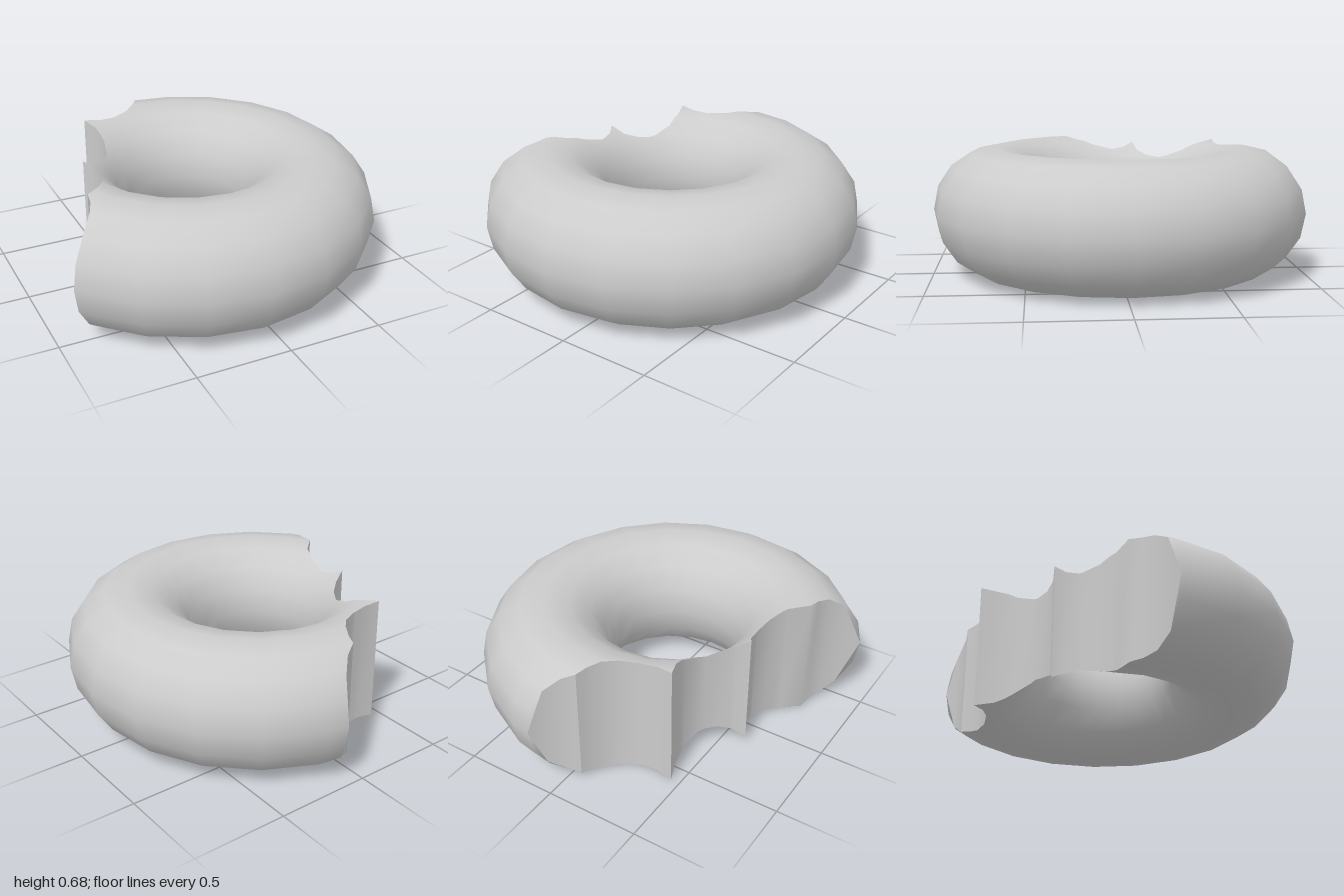
import * as THREE from 'three';
import { toCreasedNormals } from 'three/addons/utils/BufferGeometryUtils.js';

const CX = -0.097, CZ = -0.017;   // ring centre
const R = 0.678, r = 0.339;       // ring and tube radii
const SEG = 20, SIDES = 16;
const STEP = (2 * Math.PI) / SEG;

// Outline of the bite: five scalloped tooth marks, as [x, z]
const bite = [
  [0.115, -1.015], [0.07, -0.92], [0.005, -0.855], [-0.06, -0.82],
  [-0.08, -0.765], [-0.12, -0.70], [-0.18, -0.64], [-0.27, -0.595], [-0.36, -0.58], [-0.45, -0.592],
  [-0.415, -0.50], [-0.405, -0.40], [-0.43, -0.30], [-0.49, -0.21], [-0.55, -0.16], [-0.62, -0.132],
  [-0.59, -0.08], [-0.58, 0.0], [-0.60, 0.10], [-0.65, 0.20], [-0.74, 0.282],
  [-0.75, 0.35], [-0.78, 0.42], [-0.84, 0.495], [-0.93, 0.57],
].map(([x, z]) => {
  const dx = x - CX, dz = z - CZ;
  return { x: dx, z: dz, t: (Math.atan2(dx, dz) + 2 * Math.PI) % (2 * Math.PI) };
});

// Distance from the ring centre to the bite at angle t
function cutRadius(t) {
  for (let i = 0; i < bite.length - 1; i++) {
    const a = bite[i], b = bite[i + 1];
    if (t < a.t - 1e-9 || t > b.t + 1e-9) continue;
    const ex = b.x - a.x, ez = b.z - a.z;
    return (a.x * ez - a.z * ex) / (Math.sin(t) * ez - Math.cos(t) * ex);
  }
  return Infinity;
}

// Cross-section of the ring at angle t, trimmed where the bite cuts it
function section(t) {
  const off = t - (Math.floor(t / STEP + 1e-9) + 0.5) * STEP;
  const s = Math.cos(STEP / 2) / Math.cos(off);   // keeps the sides of the ring straight
  const cut = cutRadius(t);
  const point = (k) => {
    const a = (k / SIDES) * 2 * Math.PI;
    return [s * (R + r * Math.cos(a)), r * Math.sin(a)];
  };
  let edge = null;
  for (let k = 0; k < SIDES / 2 && !edge; k++) {
    const p = point(k), q = point(k + 1);
    if (p[0] > cut && q[0] <= cut) {
      const f = (p[0] - cut) / (p[0] - q[0]);
      edge = [cut, p[1] + f * (q[1] - p[1])];
    }
  }
  const out = [];
  for (let k = 0; k <= SIDES; k++) {
    let p = point(k);
    if (edge && p[0] > cut) p = [cut, k <= SIDES / 2 ? edge[1] : -edge[1]];
    const a = Math.atan2(p[1], p[0] / s - R);
    out.push({
      pos: [CX + p[0] * Math.sin(t), r + p[1], CZ + p[0] * Math.cos(t)],
      nor: [Math.cos(a) * Math.sin(t), Math.sin(a), Math.cos(a) * Math.cos(t)],
    });
  }
  return out;
}

export function createModel() {
  const group = new THREE.Group();
  group.name = 'bittenRing';
  const material = new THREE.MeshStandardMaterial({ color: 0xcccccc });

  const angles = bite.map((b) => b.t);
  for (let i = 0; i <= SEG; i++) angles.push(i * STEP);
  angles.sort((a, b) => a - b);
  const columns = angles.map(section);

  // Smooth skin of the ring
  const pos = [], nor = [], index = [], wall = [];
  const row = SIDES + 1;
  columns.forEach((col) => col.forEach((v) => { pos.push(...v.pos); nor.push(...v.nor); }));
  for (let i = 0; i < columns.length - 1; i++) {
    for (let k = 0; k < SIDES; k++) {
      const a = i * row + k, b = a + row;
      index.push(a, b, b + 1, a, b + 1, a + 1);
    }
    // Upright wall where the bite was taken
    if (angles[i] >= bite[0].t && angles[i + 1] <= bite[bite.length - 1].t) {
      const [t0, t1] = [columns[i][0].pos, columns[i + 1][0].pos];
      const [b0, b1] = [columns[i][SIDES].pos, columns[i + 1][SIDES].pos];
      wall.push(...b0, ...b1, ...t1, ...b0, ...t1, ...t0);
    }
  }
  const skin = new THREE.BufferGeometry();
  skin.setAttribute('position', new THREE.Float32BufferAttribute(pos, 3));
  skin.setAttribute('normal', new THREE.Float32BufferAttribute(nor, 3));
  skin.setIndex(index);
  const ring = new THREE.Mesh(skin, material);
  ring.name = 'ring';
  group.add(ring);

  const wallGeo = new THREE.BufferGeometry();
  wallGeo.setAttribute('position', new THREE.Float32BufferAttribute(wall, 3));
  const biteWall = new THREE.Mesh(toCreasedNormals(wallGeo, 0.7), material);
  biteWall.name = 'biteWall';
  group.add(biteWall);

  return group;
}
